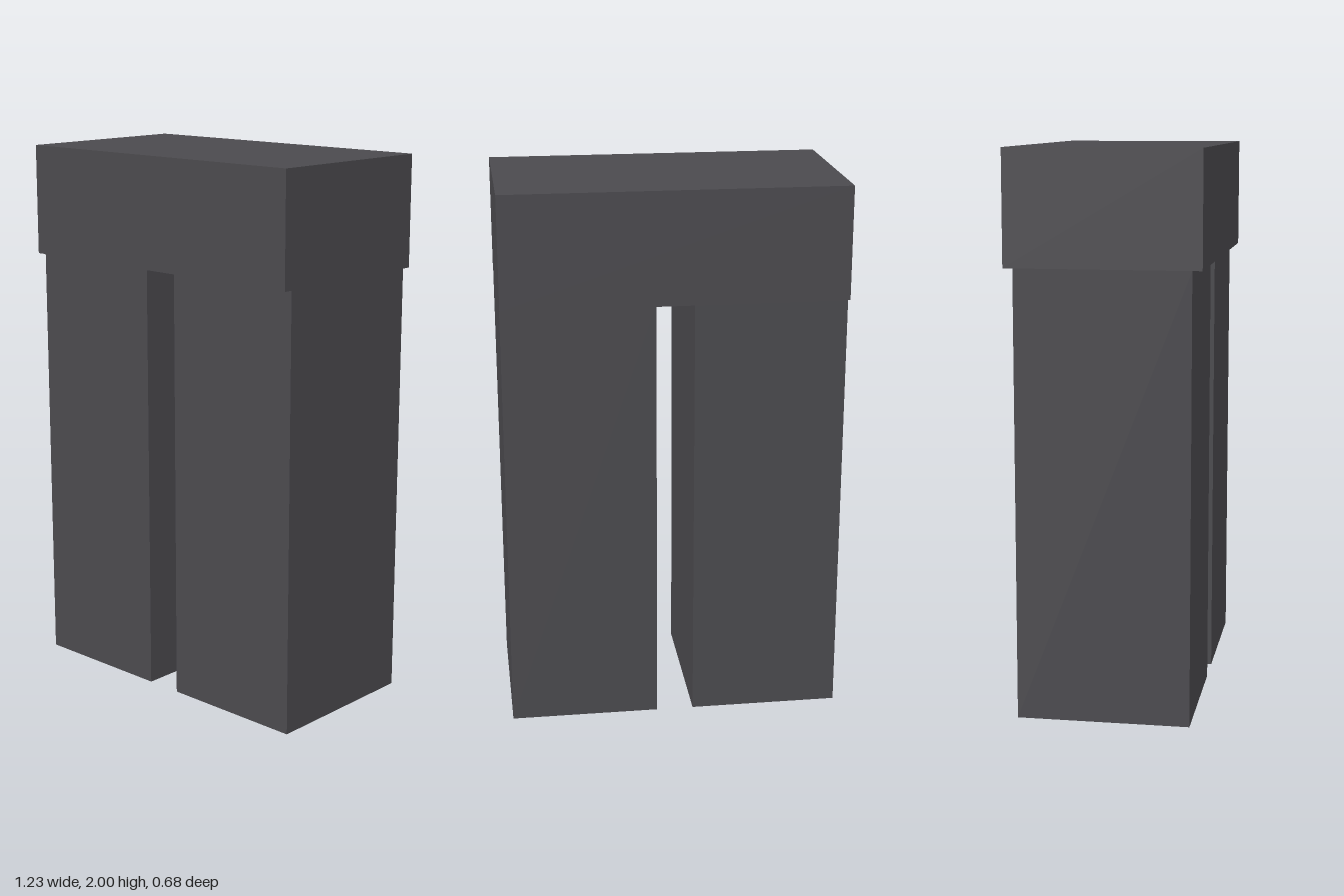
import * as THREE from 'three';

const charcoal = new THREE.MeshStandardMaterial({ color: 0x4b4a4e });
charcoal.name = 'charcoal';

const HALF_WIDTH = 0.613;
const HEIGHT = 2;
const LEG_TOP = 1.595;
const HALF_GAP = 0.068;

// Box standing on the height y
function block(name, width, height, depth, x, y) {
  const mesh = new THREE.Mesh(new THREE.BoxGeometry(width, height, depth), charcoal);
  mesh.name = name;
  mesh.position.set(x, y + height / 2, 0);
  return mesh;
}

export function createModel() {
  const model = new THREE.Group();
  model.name = 'trousers';

  // Waist block, slightly deeper than the legs
  model.add(block('waist', HALF_WIDTH * 2, HEIGHT - LEG_TOP, 0.682, 0, LEG_TOP));

  // Mirrored legs with a narrow gap between them
  const legWidth = HALF_WIDTH - HALF_GAP;
  for (const [name, side] of [['leftLeg', 1], ['rightLeg', -1]]) {
    model.add(block(name, legWidth, LEG_TOP, 0.613, side * (HALF_GAP + legWidth / 2), 0));
  }
  return model;
}
